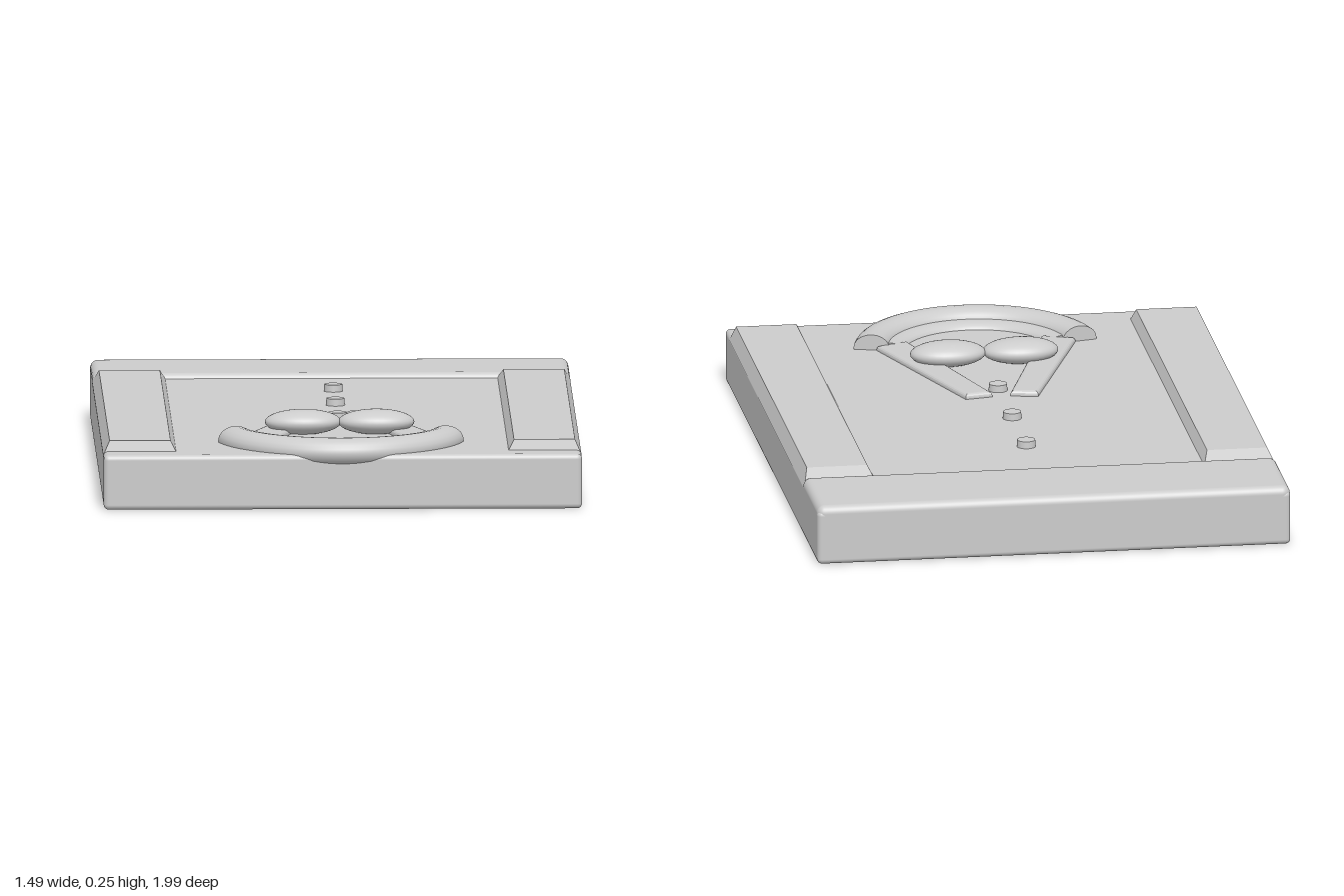
import * as THREE from 'three';
import { RoundedBoxGeometry } from 'three/addons/geometries/RoundedBoxGeometry.js';

const material = new THREE.MeshStandardMaterial({ color: 0xcccccc });

function add(parent, name, geometry, x = 0, y = 0, z = 0) {
  const mesh = new THREE.Mesh(geometry, material);
  mesh.name = name;
  mesh.position.set(x, y, z);
  parent.add(mesh);
  return mesh;
}

// Raised pad with sloping sides: footprint and top given as [x0, x1, z0, z1]
function taperedPad(foot, top, y0, y1) {
  const g = new THREE.BoxGeometry(1, 1, 1);
  const p = g.attributes.position;
  for (let i = 0; i < p.count; i++) {
    const r = p.getY(i) > 0 ? top : foot;
    p.setXYZ(i, p.getX(i) > 0 ? r[1] : r[0], p.getY(i) > 0 ? y1 : y0, p.getZ(i) > 0 ? r[3] : r[2]);
  }
  g.computeVertexNormals();
  return g;
}

// Half ring lying flat and open toward the back, with capped ends
function flatRing(name, radius, tube, height, y, z, start) {
  const ring = new THREE.Group();
  ring.name = name;
  const arc = Math.PI - 2 * start;
  const band = add(ring, name + 'Band', new THREE.TorusGeometry(radius, tube, 20, 48, arc).rotateZ(start).rotateX(Math.PI / 2));
  band.material = material;
  for (const a of [start, Math.PI - start]) {
    const cap = add(ring, name + 'End', new THREE.CircleGeometry(tube, 20), radius * Math.cos(a), 0, radius * Math.sin(a));
    // Face back along the ring, away from its middle
    const s = a < Math.PI / 2 ? 1 : -1;
    cap.lookAt(cap.position.x + s * Math.sin(a), 0, cap.position.z - s * Math.cos(a));
  }
  ring.scale.y = height / tube;
  ring.position.set(0, y, z);
  return ring;
}

export function createModel() {
  const model = new THREE.Group();
  model.name = 'shirtPlaque';

  // Main slab and the higher shoulder strip at the back
  add(model, 'slab', new RoundedBoxGeometry(1.49, 0.172, 1.972, 4, 0.016), 0, 0.091, -0.012);
  add(model, 'shoulderStrip', new RoundedBoxGeometry(1.49, 0.188, 0.33, 4, 0.025), 0, 0.099, -0.833);

  // Sleeves along both sides
  for (const s of [-1, 1]) {
    const span = (a, b) => (s > 0 ? [a, b] : [-b, -a]);
    add(model, s > 0 ? 'leftSleeve' : 'rightSleeve',
      taperedPad([...span(0.512, 0.745), -0.71, 0.885], [...span(0.535, 0.725), -0.63, 0.875], 0.165, 0.21));
  }

  // Lapels forming a V below the collar
  for (const s of [-1, 1]) {
    const outline = [[0.045, 0.14], [0.105, 0.13], [0.295, 0.66], [0.22, 0.69]];
    const shape = new THREE.Shape(outline.map(([x, z]) => new THREE.Vector2(s * x, z)));
    const g = new THREE.ExtrudeGeometry(shape, {
      depth: 0.02, bevelEnabled: true, bevelThickness: 0.012, bevelSize: 0.014, bevelSegments: 4,
    });
    g.rotateX(Math.PI / 2);
    add(model, s > 0 ? 'leftLapel' : 'rightLapel', g, 0, 0.182, 0);
  }

  // Collar with a lower inner lip
  model.add(flatRing('collar', 0.336, 0.056, 0.043, 0.183, 0.604, 0.22));
  model.add(flatRing('collarLip', 0.285, 0.05, 0.025, 0.173, 0.604, 0.26));

  // Bow tie
  for (const s of [-1, 1]) {
    const bow = add(model, s > 0 ? 'leftBow' : 'rightBow', new THREE.SphereGeometry(1, 32, 20), s * 0.114, 0.212, 0.495);
    bow.scale.set(0.119, 0.039, 0.074);
  }

  // Shirt buttons
  for (const z of [-0.4, -0.1, 0.2]) {
    add(model, 'button', new THREE.CylinderGeometry(0.028, 0.03, 0.03, 28), 0, 0.184, z);
  }
  return model;
}
